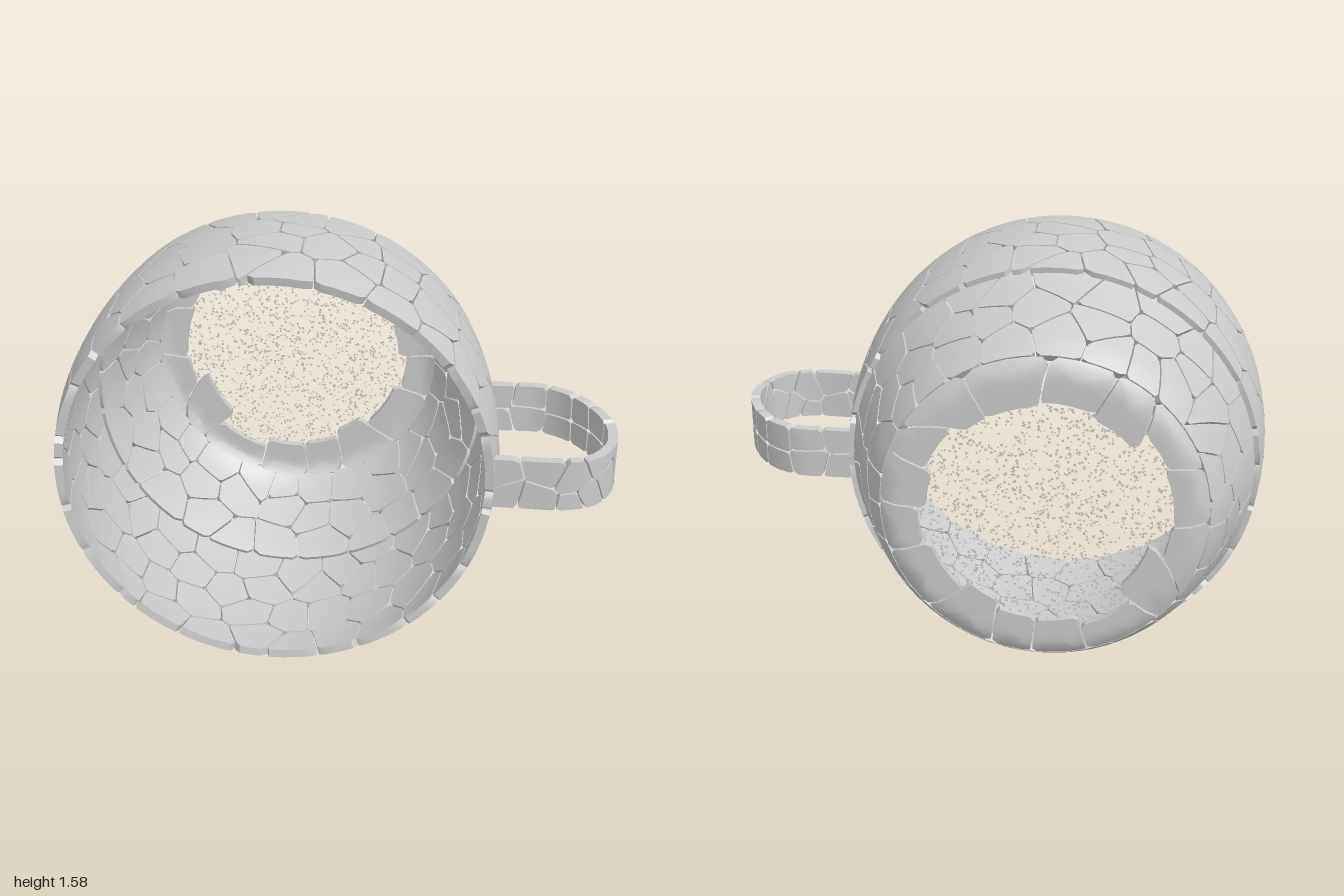
import * as THREE from 'three';
import { mergeGeometries, toCreasedNormals } from 'three/addons/utils/BufferGeometryUtils.js';

const CX = -0.21, CY = 0.795; // cup axis, running along z

let seed = 7;
const rand = () => {
  seed = (seed * 16807) % 2147483647;
  return seed / 2147483647;
};

// Keep the part of a polygon where (p - a) . n <= 0
function clip(poly, ax, ay, nx, ny) {
  const out = [];
  poly.forEach((p, i) => {
    const q = poly[(i + 1) % poly.length];
    const dp = (p[0] - ax) * nx + (p[1] - ay) * ny;
    const dq = (q[0] - ax) * nx + (q[1] - ay) * ny;
    if (dp <= 0) out.push(p);
    if (dp * dq < 0) {
      const t = dp / (dp - dq);
      out.push([p[0] + (q[0] - p[0]) * t, p[1] + (q[1] - p[1]) * t]);
    }
  });
  return out;
}

// Irregular cells over a width x height strip; optionally wrapped, with a ragged far edge
function makeCells({ width, height, cols, rows, wrap = false, ragged = 0 }) {
  const w = width / cols, h = height / rows, seeds = [], cells = [];
  for (let j = 0; j < rows; j++) for (let i = 0; i < cols; i++) {
    seeds.push([(i + 0.5 + (j % 2) * 0.25 + (rand() - 0.5) * 0.75) * w, (j + 0.5 + (rand() - 0.5) * 0.75) * h]);
  }
  const all = [...seeds];
  if (wrap) seeds.forEach(([x, y]) => all.push([x - width, y], [x + width, y]));
  for (const s of seeds) {
    const x0 = wrap ? s[0] - 3 * w : 0, x1 = wrap ? s[0] + 3 * w : width;
    const top = height - ragged * rand();
    let poly = [[x0, 0], [x1, 0], [x1, top], [x0, top]];
    for (const o of all) {
      const dx = o[0] - s[0], dy = o[1] - s[1], d = Math.hypot(dx, dy);
      if (d < 1e-6 || d > 6 * Math.max(w, h)) continue;
      const k = 0.5 - 0.003 / d;
      poly = clip(poly, s[0] + dx * k, s[1] + dy * k, dx, dy);
    }
    if (poly.length > 2) cells.push(poly);
  }
  return cells;
}

// Chip the corners and divide long edges so that a cell can follow a curved surface
function outline(poly) {
  const chipped = [], pts = [];
  poly.forEach((p, i) => {
    const q = poly[(i + 1) % poly.length], a = 0.05 + rand() * 0.1, b = 0.85 + rand() * 0.1;
    for (const t of [a, b]) chipped.push([p[0] + (q[0] - p[0]) * t, p[1] + (q[1] - p[1]) * t]);
  });
  chipped.forEach((p, i) => {
    const q = chipped[(i + 1) % chipped.length];
    const n = Math.max(1, Math.ceil(Math.hypot(q[0] - p[0], q[1] - p[1]) / 0.06));
    for (let k = 0; k < n; k++) pts.push([p[0] + (q[0] - p[0]) * k / n, p[1] + (q[1] - p[1]) * k / n]);
  });
  return pts;
}

// One thick tile; map(u, v, depth) places a point on or under the surface
function tile(poly, map, thickness) {
  const pts = outline(poly), n = pts.length, pos = [];
  const cx = pts.reduce((s, p) => s + p[0], 0) / n, cy = pts.reduce((s, p) => s + p[1], 0) / n;
  const ring = (scale, depth) => pts.map(p => map(cx + (p[0] - cx) * scale, cy + (p[1] - cy) * scale, depth));
  const tri = (a, b, c) => pos.push(...a, ...b, ...c);
  const quad = (a, b, c, d) => { tri(a, b, c); tri(a, c, d); };
  const top = ring(1, 0), topMid = ring(0.5, 0), low = ring(1, thickness), lowMid = ring(0.5, thickness);
  const ct = map(cx, cy, 0), cl = map(cx, cy, thickness);
  for (let i = 0; i < n; i++) {
    const j = (i + 1) % n;
    tri(ct, topMid[i], topMid[j]);
    quad(topMid[i], top[i], top[j], topMid[j]);
    quad(top[i], low[i], low[j], top[j]);
    quad(low[i], lowMid[i], lowMid[j], low[j]);
    tri(cl, lowMid[j], lowMid[i]);
  }
  const g = new THREE.BufferGeometry();
  g.setAttribute('position', new THREE.Float32BufferAttribute(pos, 3));
  return toCreasedNormals(g, 0.6);
}

function tiledMesh(name, cells, map, thickness, material) {
  const mesh = new THREE.Mesh(mergeGeometries(cells.map(c => tile(c, map, thickness))), material);
  mesh.name = name;
  return mesh;
}

// Surface of revolution about the cup axis, from profile points [radius, z]
function revolved(profile, refRadius) {
  const curve = new THREE.CatmullRomCurve3(profile.map(([r, z]) => new THREE.Vector3(r, z, 0)));
  const length = curve.getLength();
  const map = (u, v, depth) => {
    const t = THREE.MathUtils.clamp(v / length, 0, 1);
    const p = curve.getPointAt(t), d = curve.getTangentAt(t);
    const r = p.x + d.y * depth, z = p.y - d.x * depth, a = -u / refRadius;
    return [CX + r * Math.cos(a), CY + r * Math.sin(a), z];
  };
  return { map, length, width: Math.PI * 2 * refRadius };
}

export function createModel() {
  const group = new THREE.Group();
  const grey = new THREE.MeshStandardMaterial({ color: 0xcccccc });
  const thin = new THREE.MeshStandardMaterial({ color: 0xcccccc, side: THREE.DoubleSide });

  // Cup wall: bulging front band, tapering rear band, flat ring around the open base
  const bands = [
    { name: 'frontWall', ref: 0.77, cols: 28, rows: 4, ragged: 0,
      profile: [[0.765, 0.51], [0.785, 0.38], [0.79, 0.22], [0.78, 0.05], [0.757, -0.11]] },
    { name: 'taperedWall', ref: 0.68, cols: 25, rows: 3, ragged: 0,
      profile: [[0.745, -0.09], [0.72, -0.15], [0.67, -0.29], [0.615, -0.42], [0.575, -0.48]] },
    { name: 'baseRing', ref: 0.48, cols: 16, rows: 1, ragged: 0.08,
      profile: [[0.572, -0.482], [0.535, -0.507], [0.47, -0.51], [0.385, -0.51]] },
  ];
  for (const { name, ref, cols, rows, ragged, profile } of bands) {
    const { map, length, width } = revolved(profile, ref);
    const cells = makeCells({ width, height: length, cols, rows, ragged, wrap: true });
    group.add(tiledMesh(name, cells, map, 0.03, grey));
  }

  // Handle: a tiled strap bent along a loop beside the cup
  const path = new THREE.CatmullRomCurve3([
    [0.53, -0.105], [0.64, -0.105], [0.75, -0.1], [0.86, -0.04], [0.95, 0.08], [0.995, 0.22],
    [0.98, 0.35], [0.91, 0.45], [0.8, 0.488], [0.66, 0.485], [0.54, 0.48],
  ].map(([x, z]) => new THREE.Vector3(x, 0, z)));
  const pathLength = path.getLength(), strap = 0.19;
  const handleMap = (u, v, depth) => {
    const t = THREE.MathUtils.clamp(u / pathLength, 0, 1);
    const p = path.getPointAt(t), d = path.getTangentAt(t);
    return [p.x - d.z * depth, CY + strap / 2 - v, p.z + d.x * depth];
  };
  const handleCells = makeCells({ width: pathLength, height: strap, cols: 11, rows: 2 });
  group.add(tiledMesh('handle', handleCells, handleMap, 0.035, grey));

  // Base: tiny loose crumbs scattered over the disc
  const crumbs = [];
  for (let i = 0; i < 2400; i++) {
    const r = 0.52 * Math.sqrt(rand()), a = rand() * Math.PI * 2, turn = rand() * 6.28, size = 0.004 + rand() * 0.004;
    for (let k = 0; k < 3; k++) {
      const b = turn + k * 2.094;
      crumbs.push(CX + r * Math.cos(a) + size * Math.cos(b), CY + r * Math.sin(a) + size * Math.sin(b), -0.495);
    }
  }
  const crumbGeometry = new THREE.BufferGeometry();
  crumbGeometry.setAttribute('position', new THREE.Float32BufferAttribute(crumbs, 3));
  crumbGeometry.computeVertexNormals();
  const base = new THREE.Mesh(crumbGeometry, thin);
  base.name = 'baseCrumbs';
  group.add(base);

  return group;
}
